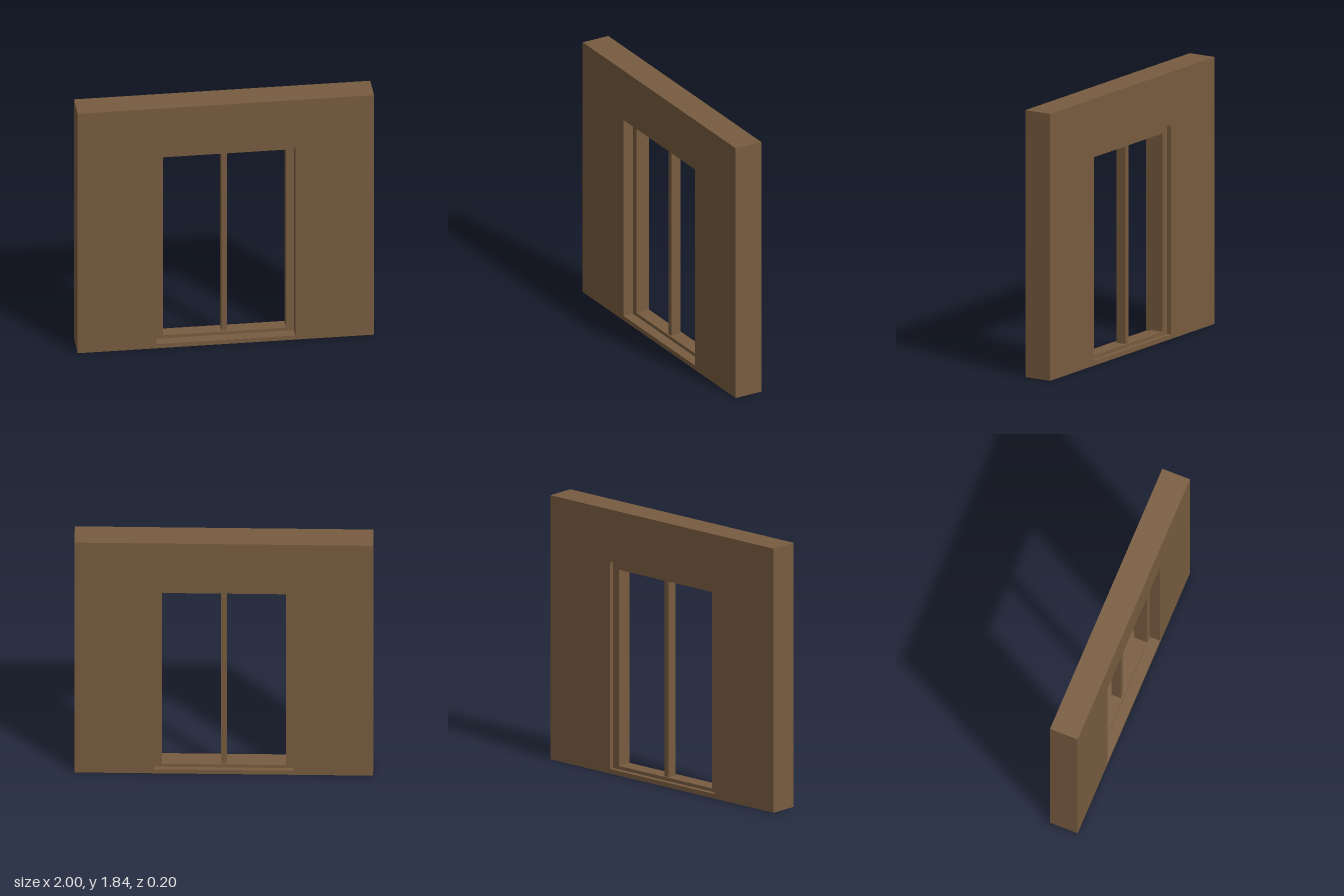
import * as THREE from 'three';

// Rectangular slab with rectangular holes, centred in depth on z.
// Rectangles are [left, bottom, right, top].
function slab(name, outer, holes, depth, z, material) {
  const trace = (path, [l, b, r, t]) => {
    path.moveTo(l, b);
    path.lineTo(r, b);
    path.lineTo(r, t);
    path.lineTo(l, t);
    path.closePath();
    return path;
  };
  const shape = trace(new THREE.Shape(), outer);
  for (const hole of holes) shape.holes.push(trace(new THREE.Path(), hole));
  const geometry = new THREE.ExtrudeGeometry(shape, { depth, bevelEnabled: false });
  geometry.translate(0, 0, z - depth / 2);
  const mesh = new THREE.Mesh(geometry, material);
  mesh.name = name;
  return mesh;
}

export function createModel() {
  const group = new THREE.Group();
  group.name = 'wallWithWindow';

  const wood = new THREE.MeshStandardMaterial({ color: 0x785c3f });
  wood.name = 'brown wood';

  const opening = [-0.468, 0.032, 0.468, 1.472];
  const daylight = [-0.416, 0.055, 0.416, 1.419];
  const frameZ = -0.02;

  // Thick wall with one tall opening
  group.add(slab('wall', [-1, 0, 1, 1.835], [opening], 0.2, 0, wood));

  // Window frame recessed in the opening, closer to the back face
  group.add(slab('windowFrame', opening, [daylight], 0.094, frameZ, wood));

  // Central upright, slightly thinner than the frame
  const height = daylight[3] - daylight[1];
  const mullion = new THREE.Mesh(new THREE.BoxGeometry(0.038, height, 0.07), wood);
  mullion.name = 'mullion';
  mullion.position.set(0, daylight[1] + height / 2, frameZ);
  group.add(mullion);

  return group;
}
